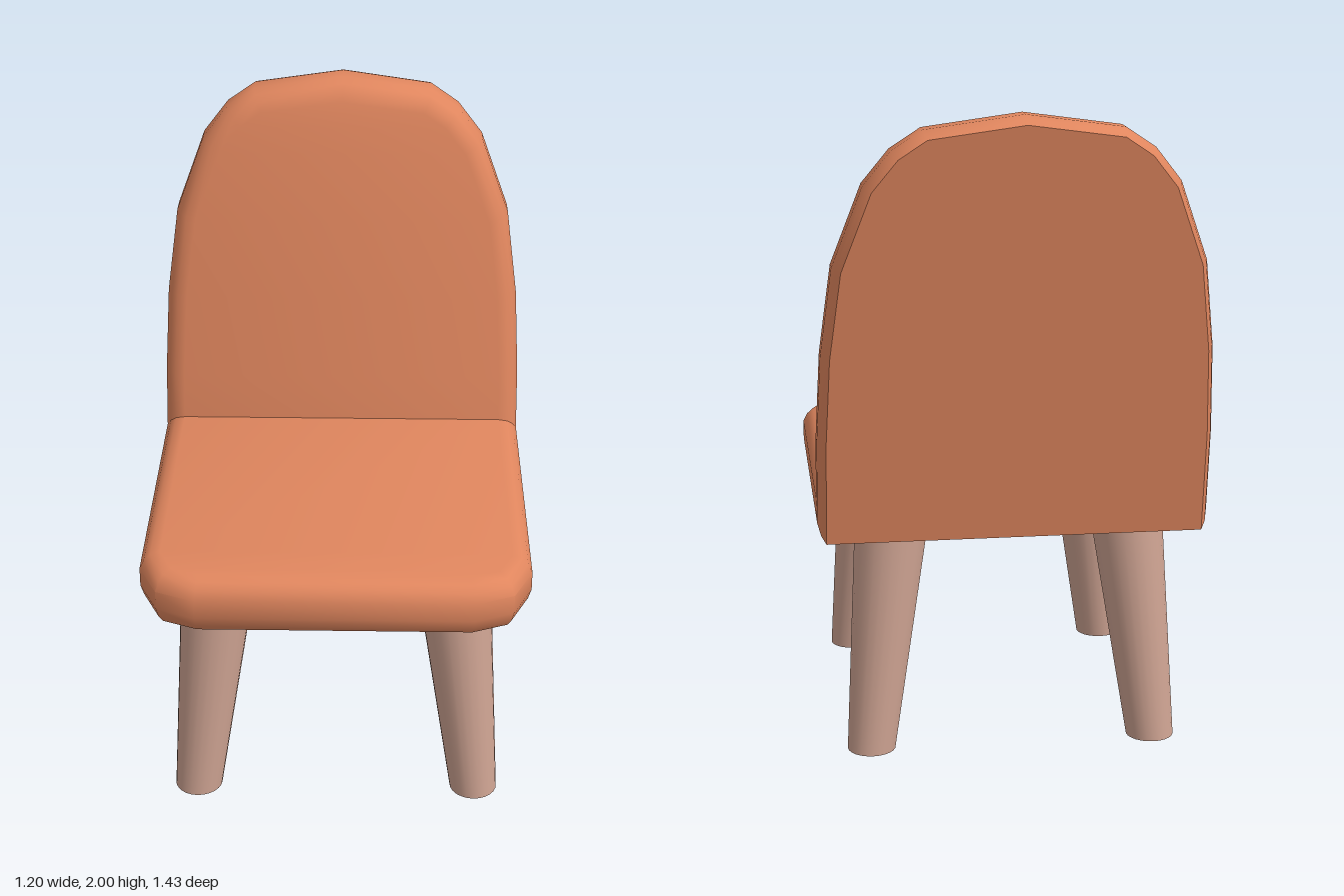
import * as THREE from 'three';
import { toCreasedNormals } from 'three/addons/utils/BufferGeometryUtils.js';

// Padded edge shared by seat and back: [inset, fraction from outer to inner face]
const EDGE = [[0.025, 0], [0.01, 0.13], [0, 0.32], [0, 0.68], [0.014, 0.84], [0.034, 0.95], [0.065, 1]];

// Mirror a half outline (starting at the joint, x > 0) into a full open outline
function mirrorOutline(half) {
  const other = half.filter(p => p[0] > 0).map(([x, v]) => [-x, v]).reverse();
  return [...half, ...other].map(p => new THREE.Vector2(...p));
}

// Cushion slab: one loop of the outline per edge level, joint ends left open for the mitre
function cushion(outline, place, flip) {
  const n = outline.length, pos = [], idx = [];
  const normals = outline.map((p, i) => {
    if (i === 0) return new THREE.Vector2(1, 0);
    if (i === n - 1) return new THREE.Vector2(-1, 0);
    const side = (a, b) => new THREE.Vector2(b.y - a.y, a.x - b.x).normalize();
    return side(outline[i - 1], p).add(side(p, outline[i + 1])).normalize();
  });
  for (const [inset, t] of EDGE) {
    outline.forEach((p, i) => {
      const end = i === 0 || i === n - 1;
      pos.push(...place(p.x - normals[i].x * inset, p.y - normals[i].y * inset, t, end));
    });
  }
  const quad = (a, b, c, d) => {
    if (flip) idx.push(a, c, b, a, d, c);
    else idx.push(a, b, c, a, c, d);
  };
  for (let k = 0; k < EDGE.length - 1; k++) {
    for (let i = 0; i < n - 1; i++) {
      const a = k * n + i;
      quad(a, a + 1, a + n + 1, a + n);
    }
  }
  // Broad faces, filled by strips between mirrored points
  const top = (EDGE.length - 1) * n;
  for (let i = 0; i < Math.floor(n / 2); i++) {
    const j = n - 1 - i;
    if (j - i < 2) break;
    quad(top + i, top + i + 1, top + j - 1, top + j);
    quad(j, j - 1, i + 1, i);
  }
  const g = new THREE.BufferGeometry();
  g.setAttribute('position', new THREE.Float32BufferAttribute(pos, 3));
  g.setIndex(idx);
  return toCreasedNormals(g, 0.82);
}

// Tapered leg leaning from its top centre to its foot
function leg(topX, topZ, footX, footZ) {
  const h = 0.72;
  const g = new THREE.CylinderGeometry(0.114, 0.075, h, 24);
  g.translate(0, h / 2, 0);
  const shear = new THREE.Matrix4().set(
    1, (topX - footX) / h, 0, footX,
    0, 1, 0, 0,
    0, (topZ - footZ) / h, 1, footZ,
    0, 0, 0, 1);
  return g.applyMatrix4(shear);
}

export function createModel() {
  const model = new THREE.Group();
  const upholstery = new THREE.MeshStandardMaterial({ color: 0xe0865e });
  upholstery.name = 'orange upholstery';
  const wood = new THREE.MeshStandardMaterial({ color: 0xcfa493 });
  wood.name = 'pale wood';
  const add = (name, geometry, material) => {
    const mesh = new THREE.Mesh(geometry, material);
    mesh.name = name;
    model.add(mesh);
  };

  // Seat: outline in x and z, rear ends slide along the mitre
  const seatOutline = mirrorOutline([[0.6, -0.5], [0.6, 0.53], [0.54, 0.66], [0.42, 0.71]]);
  add('seat', cushion(seatOutline, (x, z, t, end) =>
    [x, 0.7 + 0.17 * t, end ? -0.5 + 0.15 * t : z], true), upholstery);

  // Backrest: outline in x and y, leaning backwards
  const lean = 0.171;
  const backOutline = mirrorOutline([[0.6, 0.7], [0.598, 1.02], [0.585, 1.29], [0.55, 1.56],
    [0.46, 1.8], [0.38, 1.9], [0.29, 1.96], [0, 2]]);
  add('backrest', cushion(backOutline, (x, y, t, end) => {
    const h = end ? 0.7 + 0.17 * t : y;
    return [x, h, -0.5 - lean * (h - 0.7) + (0.15 + 0.17 * lean) * t];
  }, false), upholstery);

  // Four splayed legs
  for (const [side, s] of [['left', 1], ['right', -1]]) {
    add(side + 'FrontLeg', leg(s * 0.367, 0.468, s * 0.443, 0.525), wood);
    add(side + 'RearLeg', leg(s * 0.367, -0.352, s * 0.443, -0.412), wood);
  }
  return model;
}
